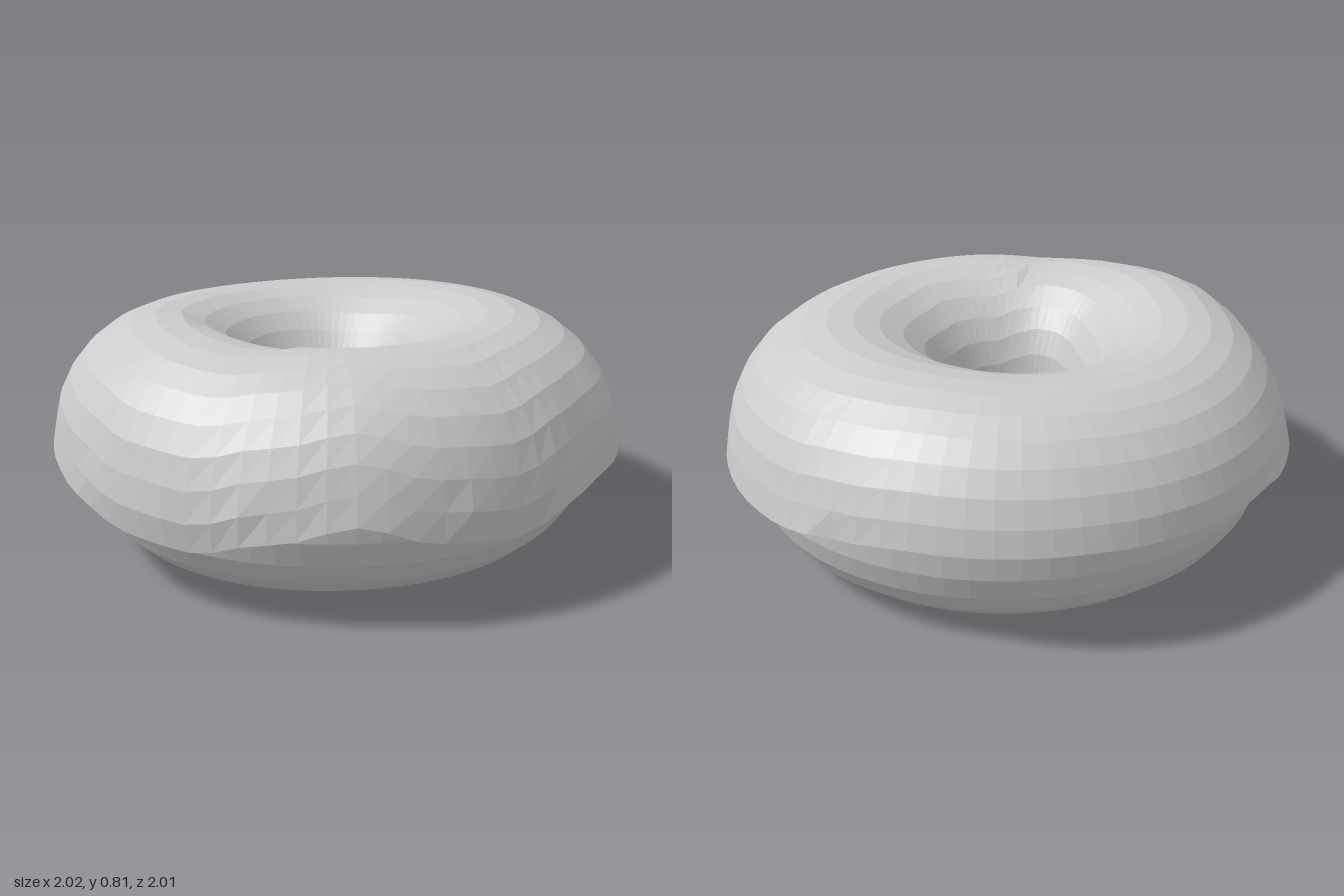
import * as THREE from 'three';

const TAU = Math.PI * 2;
const AROUND = 72;

// Height of the icing's outer edge every 15 degrees, from +x towards +z
const EDGE = [0.35, 0.34, 0.34, 0.34, 0.34, 0.32, 0.262, 0.29, 0.365, 0.3, 0.232, 0.24,
  0.29, 0.34, 0.36, 0.37, 0.38, 0.385, 0.39, 0.4, 0.41, 0.41, 0.41, 0.385];

function edgeHeight(theta) {
  const n = EDGE.length;
  const t = (theta / TAU) * n;
  const i = Math.floor(t) % n;
  const f = t - Math.floor(t);
  const s = f * f * (3 - 2 * f);
  return EDGE[i] * (1 - s) + EDGE[(i + 1) % n] * s;
}

// Soft bump around an angle in degrees
function bump(theta, degrees, width) {
  let d = theta * 180 / Math.PI - degrees;
  d -= 360 * Math.round(d / 360);
  return Math.exp(-((d / width) ** 2));
}

// Sweeps a ring of cross-sections; section(theta, j) returns [radius, height]
function ringGeometry(rows, section) {
  const positions = [];
  const index = [];
  for (let i = 0; i < AROUND; i++) {
    const theta = (i / AROUND) * TAU;
    for (let j = 0; j < rows; j++) {
      const [r, y] = section(theta, j);
      // The hole sits slightly off centre
      const shift = -0.02 * THREE.MathUtils.clamp((0.9 - r) / 0.6, 0, 1);
      positions.push(r * Math.cos(theta) + shift, y, r * Math.sin(theta) + shift);
    }
  }
  for (let i = 0; i < AROUND; i++) {
    for (let j = 0; j < rows - 1; j++) {
      const a = i * rows + j;
      const c = ((i + 1) % AROUND) * rows + j;
      index.push(a, a + 1, c, a + 1, c + 1, c);
    }
  }
  const geometry = new THREE.BufferGeometry();
  geometry.setAttribute('position', new THREE.Float32BufferAttribute(positions, 3));
  geometry.setIndex(index);
  geometry.computeVertexNormals();
  return geometry;
}

// Soft, slightly lumpy dough ring
function doughSection(theta, j) {
  const phi = (j / 24) * TAU;
  const c = Math.cos(phi);
  const s = Math.sin(phi);
  const lump = 0.006 * Math.sin(3 * theta + 1) - 0.012 * bump(theta, 65, 14);
  const r = 0.605 + (0.335 + (c > 0 ? lump : 0)) * Math.sign(c) * Math.abs(c) ** 0.94;
  const sag = s < 0 ? 0.012 * (1 - Math.cos(2 * theta)) * 0.5 : 0;
  return [r, 0.375 + (0.375 - sag) * s];
}

// Icing shell: a rim at each end joins it to the dough
const ICING_ROWS = 18;
function icingSection(theta, j) {
  const last = ICING_ROWS - 1;
  const t = THREE.MathUtils.clamp((j - 1) / (last - 2), 0, 1);
  const inner = 0.31 + 0.015 * Math.sin(3 * theta);
  const start = Math.asin((edgeHeight(theta) - 0.385) / 0.41);
  const end = Math.PI - Math.asin((inner - 0.385) / 0.41);
  const phi = start + (end - start) * t;
  const c = Math.cos(phi);
  const s = Math.sin(phi);
  const rim = j === 0 || j === last;

  // Fold on the right side, with a hollow in front of it
  const middle = Math.max(0, Math.sin(phi)) * (c > -0.3 ? 1 : 0.3);
  const fold = (0.028 * bump(theta, 194, 14) - 0.035 * bump(theta, 146, 18)) * middle;
  const dent = 0.018 * bump(theta, 66, 9) * Math.max(0, c);
  const leftFold = 0.025 * bump(theta, 170, 28) * Math.max(0, -c);
  const flare = 0.02 * Math.max(0, 1 - t * 6) * (s < 0 ? 1 : 0.3);
  const a = 0.39 + fold - dent - leftFold + flare - (rim ? 0.062 : 0);
  const b = 0.404 + 0.008 * Math.cos(2 * theta) + fold * 0.5;
  return [0.607 + a * c, 0.385 + (s > 0 ? b : 0.41) * s + (rim ? 0.006 : 0)];
}

export function createModel() {
  const group = new THREE.Group();
  group.name = 'donut';
  const material = new THREE.MeshStandardMaterial({ color: 0xcccccc, flatShading: true });

  const dough = new THREE.Mesh(ringGeometry(25, doughSection), material);
  dough.name = 'dough';

  const icingMaterial = material.clone();
  icingMaterial.side = THREE.DoubleSide;
  const icing = new THREE.Mesh(ringGeometry(ICING_ROWS, icingSection), icingMaterial);
  icing.name = 'icing';

  group.add(dough, icing);
  return group;
}
